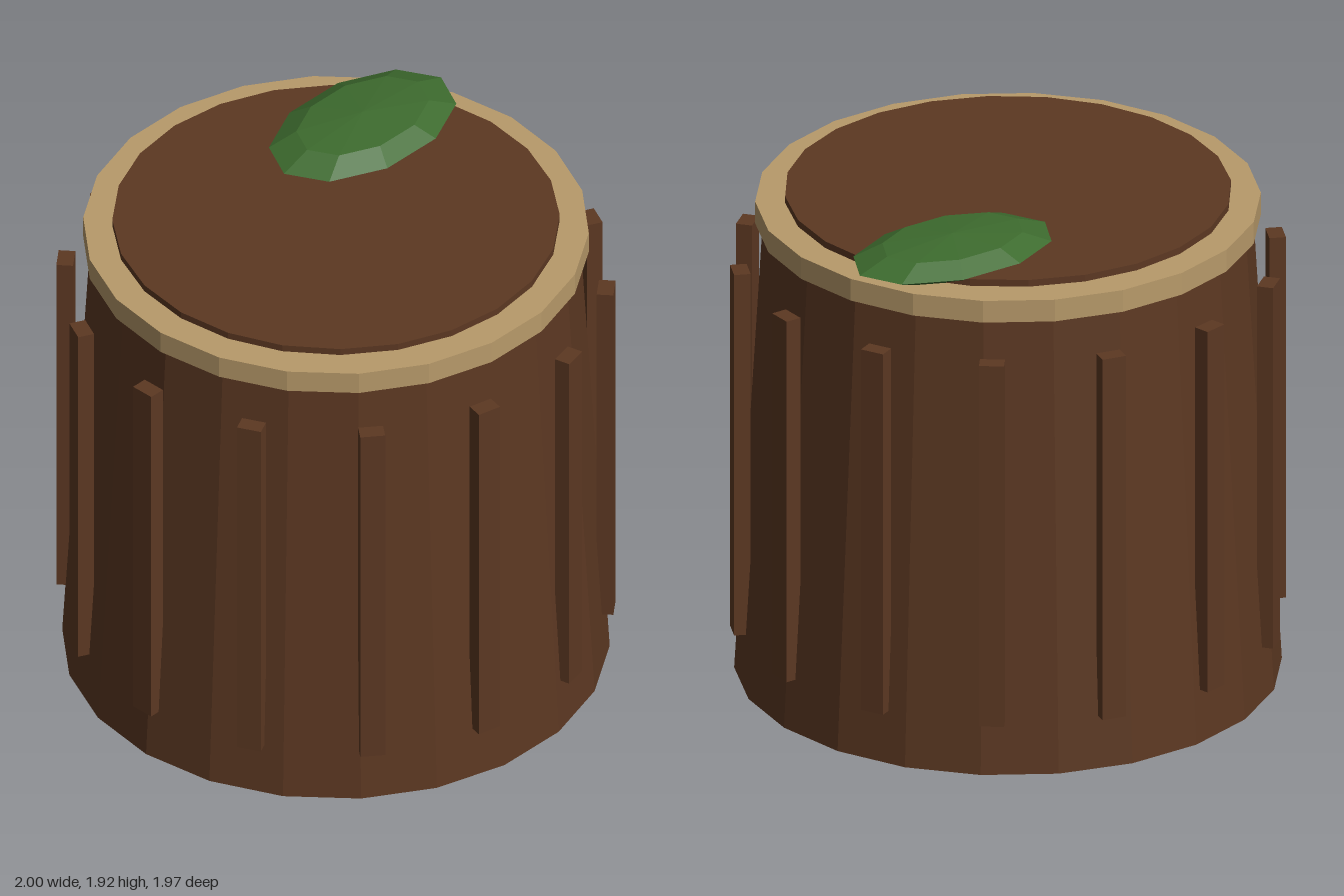
import * as THREE from 'three';

const material = (color) => new THREE.MeshStandardMaterial({ color, flatShading: true });

export function createModel() {
  const model = new THREE.Group();
  model.name = 'treeStump';
  const bark = material(0x5c3822);
  const paleWood = material(0xb89a6a);
  const leafGreen = material(0x3d6b2e);

  const add = (name, geometry, mat, parent = model) => {
    const mesh = new THREE.Mesh(geometry, mat);
    mesh.name = name;
    parent.add(mesh);
    return mesh;
  };

  // Faceted disc or cone section between two heights, first corner on the x axis
  const section = (name, rTop, rBottom, y0, y1, sides, mat) => {
    const geometry = new THREE.CylinderGeometry(rTop, rBottom, y1 - y0, sides);
    geometry.rotateY(Math.PI / 2).translate(0, (y0 + y1) / 2, 0);
    return add(name, geometry, mat);
  };

  // Tapered trunk, pale rim and the thin plate just above it
  section('trunk', 0.877, 0.98, 0, 1.76, 22, bark);
  section('rim', 0.905, 0.905, 1.742, 1.827, 22, paleWood);
  section('topPlate', 0.8, 0.8, 1.836, 1.862, 24, bark);

  // Upright bark strips around the trunk
  const strips = new THREE.Group();
  strips.name = 'barkStrips';
  model.add(strips);
  const stripCount = 14;
  const stripGeometry = new THREE.BoxGeometry(0.06, 1.415, 0.09);
  for (let i = 0; i < stripCount; i++) {
    const angle = (i / stripCount) * Math.PI * 2;
    const strip = add('barkStrip', stripGeometry, bark, strips);
    strip.position.set(Math.cos(angle) * 0.97, 0.9075, Math.sin(angle) * 0.97);
    strip.rotation.y = -angle;
  }

  // Flattened patch of moss resting on the top
  const moss = add('mossPatch', new THREE.SphereGeometry(1, 10, 4), leafGreen);
  moss.scale.set(0.405, 0.062, 0.255);
  moss.position.set(0.465, 1.862, -0.315);

  return model;
}
